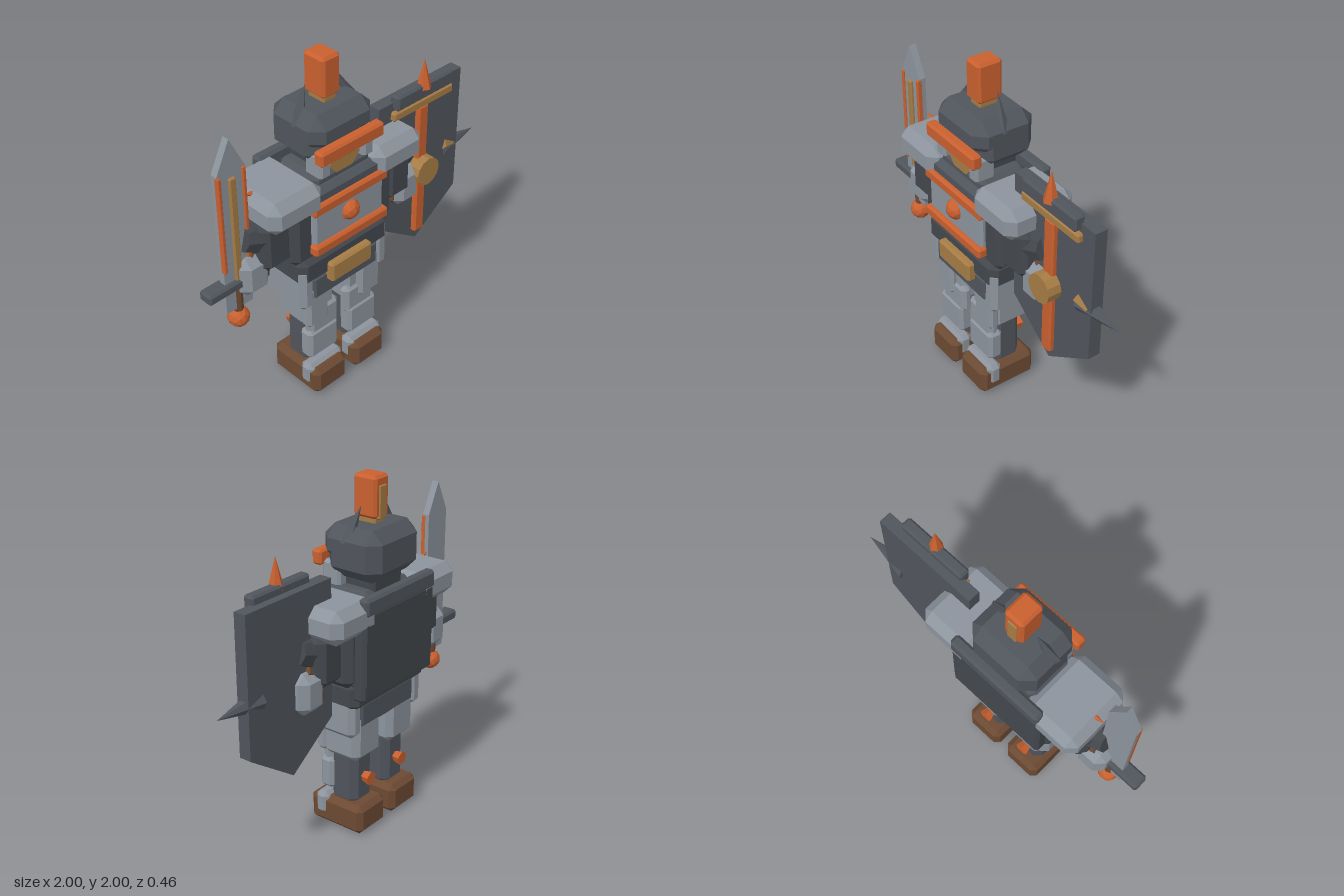
import * as THREE from 'three';
import { ConvexGeometry } from 'three/addons/geometries/ConvexGeometry.js';

const material = (name, color) => {
  const m = new THREE.MeshStandardMaterial({ color });
  m.name = name;
  return m;
};

export function createModel() {
  const model = new THREE.Group();
  model.name = 'armouredKnight';
  const steel = material('steel', 0x8c949d);
  const iron = material('iron', 0x50555c);
  const darkIron = material('darkIron', 0x43474c);
  const orange = material('orange', 0xc9602f);
  const gold = material('gold', 0xa67c45);
  const leather = material('leather', 0x6c4a33);

  const body = new THREE.Group();
  body.name = 'body';
  body.position.x = -0.165;
  const sword = new THREE.Group();
  sword.name = 'sword';
  sword.position.set(-0.8, 0, 0.02);
  const shield = new THREE.Group();
  shield.name = 'shield';
  shield.position.x = 0.5;
  model.add(body, sword, shield);

  const add = (parent, name, geometry, mat) => {
    const mesh = new THREE.Mesh(geometry, mat);
    mesh.name = name;
    parent.add(mesh);
    return mesh;
  };
  // Faceted version of a smooth geometry
  const flat = (g) => {
    const f = g.index ? g.toNonIndexed() : g;
    f.computeVertexNormals();
    return f;
  };
  // Box with bevelled edges, given by its extents
  const block = (parent, name, mat, [x0, x1], [y0, y1], [z0, z1], c = 0.02) => {
    const h = [(x1 - x0) / 2, (y1 - y0) / 2, (z1 - z0) / 2];
    c = Math.min(c, ...h.map((v) => v * 0.7));
    const points = [];
    for (const sx of [-1, 1]) for (const sy of [-1, 1]) for (const sz of [-1, 1]) {
      for (let a = 0; a < 3; a++) {
        const [x, y, z] = h.map((v, i) => (i === a ? v : v - c));
        points.push(new THREE.Vector3(sx * x, sy * y, sz * z));
      }
    }
    const mesh = add(parent, name, new ConvexGeometry(points), mat);
    mesh.position.set((x0 + x1) / 2, (y0 + y1) / 2, (z0 + z1) / 2);
    return mesh;
  };
  // Block centred on the body axis
  const mid = (name, mat, w, y, z, c) => block(body, name, mat, [-w, w], y, z, c);
  // Block repeated on both sides of the body
  const pair = (name, mat, [x0, x1], y, z, c) => {
    block(body, name + 'Left', mat, [x0, x1], y, z, c);
    block(body, name + 'Right', mat, [-x1, -x0], y, z, c);
  };
  // Tapered rod between two points
  const rod = (parent, name, mat, from, to, r0, r1, sides) => {
    const a = new THREE.Vector3(...from), b = new THREE.Vector3(...to);
    const dir = b.clone().sub(a);
    const mesh = add(parent, name, flat(new THREE.CylinderGeometry(r1, r0, dir.length(), sides)), mat);
    mesh.position.copy(a).add(b).multiplyScalar(0.5);
    mesh.quaternion.setFromUnitVectors(new THREE.Vector3(0, 1, 0), dir.normalize());
    return mesh;
  };
  const ball = (parent, name, mat, p, r) => {
    const mesh = add(parent, name, flat(new THREE.IcosahedronGeometry(r, 1)), mat);
    mesh.position.set(...p);
    return mesh;
  };
  // Flat outline with thickness from z0 to z1
  const plate = (parent, name, mat, outline, z0, z1) => {
    const shape = new THREE.Shape(outline.map(([x, y]) => new THREE.Vector2(x, y)));
    const mesh = add(parent, name, new THREE.ExtrudeGeometry(shape, { depth: z1 - z0, bevelEnabled: false }), mat);
    mesh.position.z = z0;
    return mesh;
  };

  // Legs
  pair('boot', leather, [0.03, 0.27], [0.005, 0.18], [-0.16, 0.2], 0.03);
  pair('bootPlate', steel, [0.025, 0.28], [0.06, 0.2], [0.07, 0.16], 0.025);
  pair('shin', iron, [0.055, 0.235], [0.15, 0.5], [-0.09, 0.09], 0.04);
  pair('greave', steel, [0.04, 0.255], [0.23, 0.42], [0.05, 0.14], 0.02);
  pair('knee', steel, [0.025, 0.24], [0.38, 0.56], [0.06, 0.13], 0.03);
  pair('thigh', steel, [0.035, 0.265], [0.45, 0.75], [-0.13, 0.115], 0.035);
  pair('thighPlate', steel, [0.115, 0.27], [0.47, 0.74], [0.08, 0.15], 0.02);
  pair('hipPlate', steel, [0.22, 0.318], [0.62, 0.9], [-0.14, 0.16], 0.03);
  for (const s of [-1, 1]) {
    rod(body, 'calfStud', orange, [s * 0.145, 0.32, -0.07], [s * 0.145, 0.32, -0.14], 0.025, 0.042, 5);
  }

  // Waist and torso
  mid('pelvis', iron, 0.255, [0.645, 0.83], [-0.14, 0.16], 0.035);
  mid('waist', darkIron, 0.32, [0.78, 0.96], [-0.16, 0.165], 0.04);
  mid('buckle', gold, 0.147, [0.76, 0.88], [0.14, 0.205], 0.012);
  mid('torso', darkIron, 0.36, [0.93, 1.3], [-0.15, 0.155], 0.04);
  mid('chestPlate', steel, 0.245, [1.0, 1.28], [0.1, 0.185], 0.015);
  mid('lowerChestBar', orange, 0.26, [0.99, 1.055], [0.15, 0.21], 0.012);
  mid('upperChestBar', orange, 0.26, [1.235, 1.3], [0.14, 0.205], 0.012);
  ball(body, 'chestGem', orange, [0, 1.16, 0.17], 0.062);
  mid('lowerGorget', iron, 0.235, [1.25, 1.37], [-0.15, 0.18], 0.03);
  mid('upperGorget', iron, 0.2, [1.33, 1.425], [-0.14, 0.14], 0.03);

  // Back plates
  mid('backPlate', darkIron, 0.31, [0.93, 1.36], [-0.215, -0.1], 0.02);
  mid('upperBackPlate', iron, 0.3, [1.34, 1.44], [-0.225, -0.16], 0.015);
  mid('lowerBackPlate', darkIron, 0.31, [0.86, 0.97], [-0.21, -0.13], 0.015);

  // Arms
  pair('shoulder', steel, [0.18, 0.53], [1.24, 1.425], [-0.215, 0.21], 0.05);
  pair('upperArm', darkIron, [0.335, 0.53], [0.98, 1.28], [-0.11, 0.13], 0.04);
  for (const s of [-1, 1]) {
    rod(body, 'elbowPad', darkIron, [s * 0.47, 1.17, 0.015], [s * 0.59, 1.2, 0.015], 0.11, 0.075, 8);
    rod(body, 'forearm', leather, [s * 0.46, 1.02, 0], [s * 0.56, 1.09, 0], 0.07, 0.06, 6);
    ball(body, 'wristCuff', leather, [s * 0.485, 0.93, 0], 0.07);
  }
  pair('gauntlet', steel, [0.455, 0.64], [0.86, 1.09], [-0.09, 0.1], 0.045);
  rod(body, 'shoulderSpike', orange, [-0.44, 1.4, 0], [-0.545, 1.425, 0], 0.024, 0, 5);

  // Head
  mid('neck', darkIron, 0.13, [1.37, 1.54], [-0.13, 0.09], 0.02);
  mid('helmet', iron, 0.213, [1.47, 1.75], [-0.2, 0.145], 0.065);
  mid('helmetCrown', iron, 0.213, [1.55, 1.75], [-0.2, 0.172], 0.065);
  mid('browBar', orange, 0.217, [1.52, 1.603], [0.15, 0.212], 0.012);
  pair('cheekGuard', steel, [0.11, 0.187], [1.41, 1.55], [0.05, 0.17], 0.015);
  plate(body, 'faceGuard', gold,
    [[-0.055, 1.395], [0.055, 1.395], [0.11, 1.455], [0.045, 1.49], [-0.045, 1.49], [-0.11, 1.455]], 0.06, 0.145);
  for (const s of [-1, 1]) {
    rod(body, 'horn', iron, [s * 0.185, 1.66, 0.005], [s * 0.098, 1.855, -0.025], 0.043, 0, 5);
  }
  mid('crestBase', gold, 0.043, [1.72, 1.82], [-0.07, 0.045], 0.008);
  mid('crest', orange, 0.06, [1.775, 2], [-0.085, 0.062], 0.015);
  mid('crestBackStrip', gold, 0.03, [1.77, 1.95], [-0.093, -0.06], 0.005);

  // Sword
  plate(sword, 'blade', steel,
    [[-0.085, 0.8], [0.085, 0.8], [0.085, 1.635], [0, 1.81], [-0.085, 1.635]], -0.02, 0.02);
  block(sword, 'bladeSpine', gold, [-0.02, 0.02], [0.98, 1.6], [0, 0.035], 0.006);
  for (const x of [-0.075, 0.075]) {
    block(sword, 'bladeEdge', orange, [x - 0.011, x + 0.011], [1.06, 1.63], [0, 0.03], 0.005);
  }
  block(sword, 'crossGuard', iron, [-0.2, 0.18], [0.93, 0.99], [-0.045, 0.045], 0.012);
  rod(sword, 'grip', leather, [0, 0.74, 0], [0, 0.95, 0], 0.03, 0.03, 8);
  ball(sword, 'pommel', orange, [0, 0.727, 0], 0.06);

  // Shield
  plate(shield, 'shieldBoard', iron,
    [[-0.318, 0.755], [0, 0.535], [0.318, 0.755], [0.318, 1.535], [-0.318, 1.535]], -0.027, 0.045);
  block(shield, 'shieldStripe', orange, [-0.038, 0.038], [0.6, 1.44], [0.03, 0.075], 0.01);
  block(shield, 'shieldGoldBar', gold, [-0.23, 0.228], [1.43, 1.485], [0.02, 0.075], 0.01);
  block(shield, 'shieldTopBar', iron, [-0.215, 0.213], [1.49, 1.58], [0.02, 0.085], 0.012);
  rod(shield, 'shieldTopSpike', orange, [0, 1.55, 0.062], [0, 1.72, 0.062], 0.044, 0, 6);
  rod(shield, 'shieldBoss', gold, [0, 1.035, 0.03], [0, 1.035, 0.125], 0.085, 0.085, 12);
  rod(shield, 'sideSpike', iron, [0.21, 1.045, 0.01], [0.5, 1.045, 0.01], 0.06, 0, 6);
  rod(shield, 'sideSpikeCollar', gold, [0.21, 1.08, 0.035], [0.29, 1.055, 0.045], 0.035, 0.01, 5);

  return model;
}
